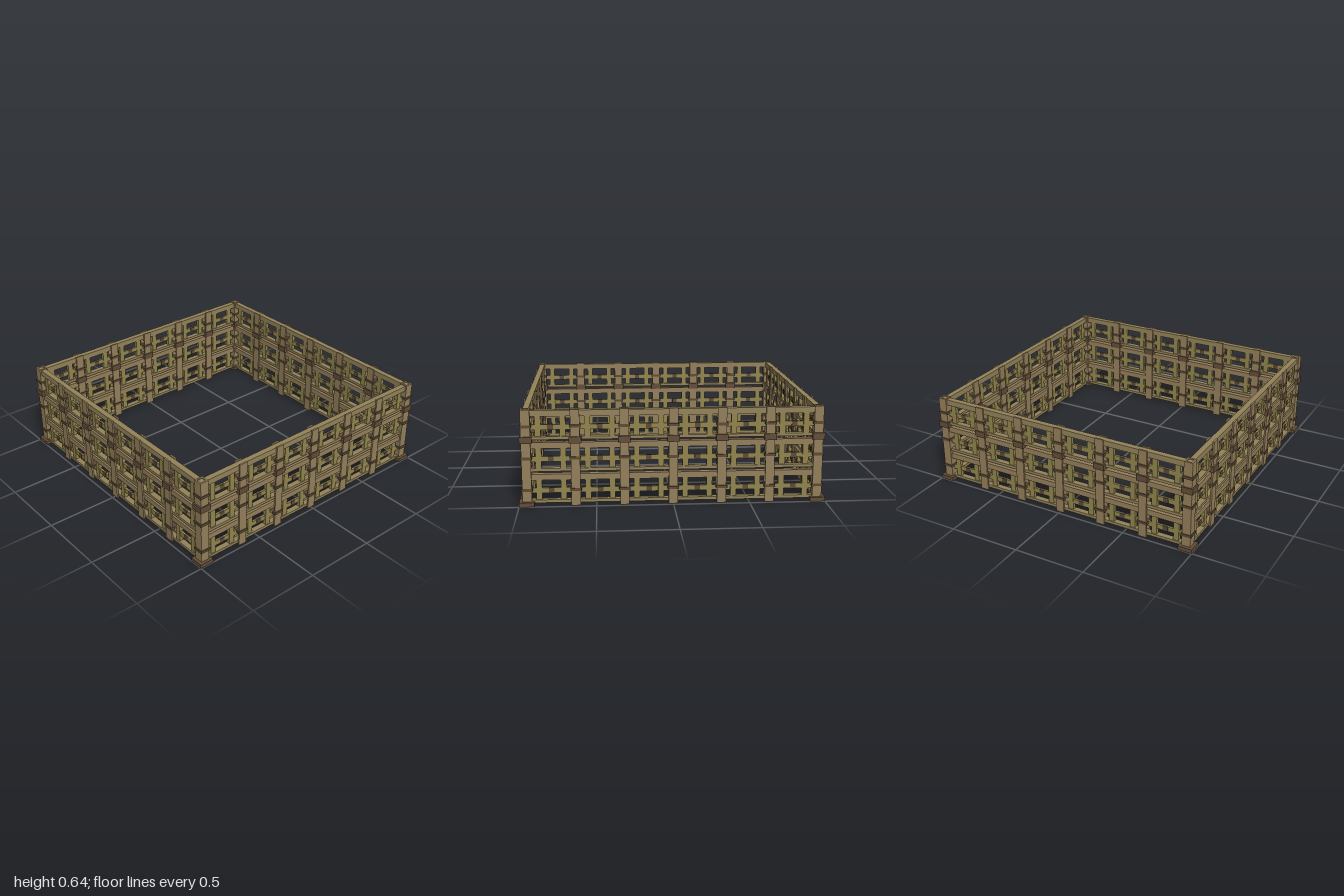
import * as THREE from 'three';

const material = (name, color) => {
  const m = new THREE.MeshStandardMaterial({ color });
  m.name = name;
  return m;
};

export function createModel() {
  const railWood = material('rail wood', 0x94835a);
  const postWood = material('post wood', 0x957f5b);
  const slatWood = material('slat wood', 0x93854f);
  const binding = material('dark binding', 0x624d38);
  const cord = material('cord', 0x5c4a35);

  const box = (parent, name, mat, size, pos) => {
    const mesh = new THREE.Mesh(new THREE.BoxGeometry(...size), mat);
    mesh.name = name;
    mesh.position.set(...pos);
    parent.add(mesh);
  };

  const EDGE = 0.948, BAY = EDGE / 3, TIER = 0.21;

  // One lattice wall along x, centred on z = 0
  function buildWall(name) {
    const wall = new THREE.Group();
    wall.name = name;
    for (let t = 0; t < 3; t++) {
      const y = t * TIER;
      // Long boards at the top and bottom of each tier
      box(wall, 'upperRail', t === 2 ? railWood : postWood, [1.936, 0.04, 0.04], [0, y + 0.19, 0]);
      box(wall, 'lowerRail', railWood, [1.936, 0.02, 0.04], [0, y + 0.028, 0]);
      // Thin bar through the middle of the tier
      box(wall, 'middleBar', slatWood, [1.9, 0.034, 0.016], [0, y + 0.098, 0]);
      for (let b = -2.5; b <= 2.5; b++) {
        const x = b * BAY;
        box(wall, 'barKnot', cord, [0.036, 0.036, 0.022], [x, y + 0.098, 0]);
        for (const s of [-1, 1]) {
          box(wall, 'slat', slatWood, [0.038, 0.15, 0.026], [x + s * 0.079, y + 0.103, 0]);
        }
      }
      // Narrow cords around each post
      for (let p = -3; p <= 3; p++) {
        box(wall, 'postCord', cord, [0.073, 0.018, 0.073], [p * BAY, y + 0.108, 0]);
      }
    }
    for (let p = -3; p <= 3; p++) {
      // Each post is a pair of boards clasping the rails
      for (const s of [-1, 1]) {
        box(wall, 'postBoard', postWood, [0.06, 0.636, 0.012], [p * BAY, 0.318, s * 0.0245]);
      }
      box(wall, 'postBand', binding, [0.08, 0.043, 0.08], [p * BAY, 0.438, 0]);
    }
    return wall;
  }

  const model = new THREE.Group();
  model.name = 'fence';
  ['frontWall', 'leftWall', 'backWall', 'rightWall'].forEach((name, i) => {
    const wall = buildWall(name);
    const a = i * Math.PI / 2;
    wall.rotation.y = a;
    wall.position.set(Math.sin(a) * EDGE, 0, Math.cos(a) * EDGE);
    model.add(wall);
  });

  // Square feet under the corners
  for (const sx of [-1, 1]) for (const sz of [-1, 1]) {
    box(model, 'cornerFoot', binding, [0.1, 0.028, 0.1], [sx * 0.95, 0.014, sz * 0.95]);
  }
  return model;
}
